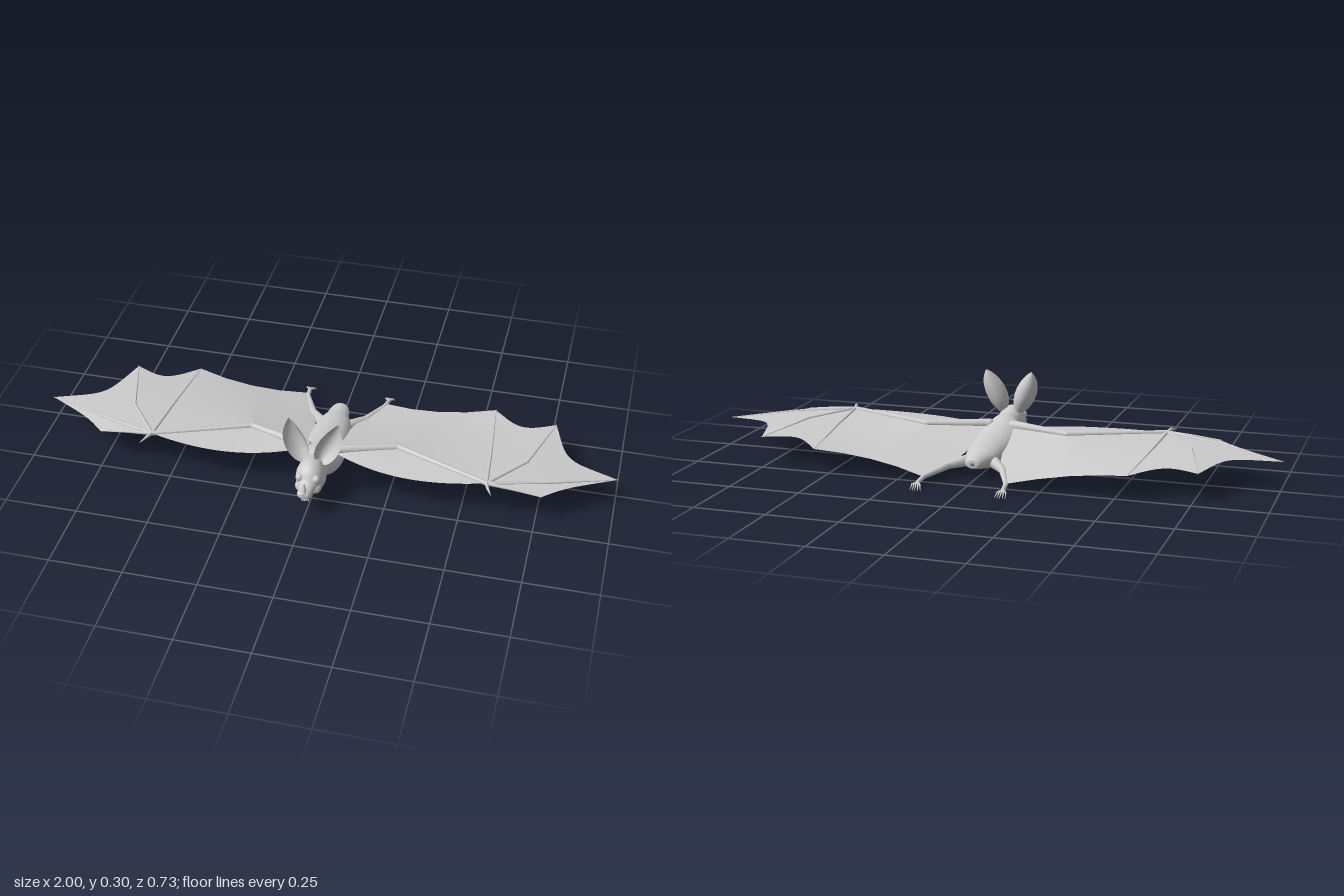
import * as THREE from 'three';

const V = (x, y, z) => new THREE.Vector3(x, y, z);
const fur = new THREE.MeshStandardMaterial({ color: 0xcccccc });
fur.name = 'grey';
const skin = new THREE.MeshStandardMaterial({ color: 0xcccccc, side: THREE.DoubleSide });
skin.name = 'thin grey skin';

// Indexed grid surface from a point rule; closed wraps around u
function surface(fn, nu, nv, closed = false) {
  const pos = [], idx = [], cols = closed ? nu : nu + 1;
  for (let i = 0; i <= nv; i++)
    for (let j = 0; j < cols; j++) pos.push(...fn(j / nu, i / nv).toArray());
  for (let i = 0; i < nv; i++)
    for (let j = 0; j < nu; j++) {
      const k = (j + 1) % cols, a = i * cols + j, b = i * cols + k;
      idx.push(a, b, a + cols, b, b + cols, a + cols);
    }
  const g = new THREE.BufferGeometry();
  g.setAttribute('position', new THREE.Float32BufferAttribute(pos, 3));
  g.setIndex(idx);
  g.computeVertexNormals();
  return g;
}

function add(parent, name, geo, mat = fur) {
  const m = new THREE.Mesh(geo, mat);
  m.name = name;
  parent.add(m);
  return m;
}

function ball(parent, name, x, y, z, rx, ry = rx, rz = rx) {
  const m = add(parent, name, new THREE.SphereGeometry(1, 20, 14));
  m.position.set(x, y, z);
  m.scale.set(rx, ry, rz);
}

// Jointed limb: tapered cylinders with round joints
function limb(parent, name, pts, radii) {
  const g = new THREE.Group();
  g.name = name;
  pts.forEach((p, i) => {
    ball(g, name + 'Joint', p.x, p.y, p.z, radii[i]);
    if (!i) return;
    const d = p.clone().sub(pts[i - 1]);
    const m = add(g, name + 'Bone', new THREE.CylinderGeometry(radii[i], radii[i - 1], d.length(), 10));
    m.position.copy(p).add(pts[i - 1]).multiplyScalar(0.5);
    m.quaternion.setFromUnitVectors(V(0, 1, 0), d.normalize());
  });
  parent.add(g);
}

// Point on a polyline with evenly spaced corners
function along(pts, t) {
  const f = Math.min(Math.max(t, 0), 1) * (pts.length - 1), i = Math.min(Math.floor(f), pts.length - 2);
  return pts[i].clone().lerp(pts[i + 1], f - i);
}

// Body, neck and head as one loft: z, top, bottom, half width
const sections = [
  [-0.2, 0.066, 0.056, 0.006], [-0.198, 0.077, 0.046, 0.022], [-0.185, 0.081, 0.041, 0.031],
  [-0.14, 0.088, 0.03, 0.042], [-0.1, 0.098, 0.022, 0.057], [0, 0.112, 0.013, 0.071],
  [0.1, 0.13, 0.012, 0.077], [0.14, 0.143, 0.016, 0.07], [0.17, 0.15, 0.033, 0.058],
  [0.2, 0.151, 0.05, 0.047], [0.225, 0.159, 0.039, 0.048], [0.25, 0.163, 0.036, 0.051],
  [0.275, 0.16, 0.046, 0.047], [0.295, 0.145, 0.06, 0.038], [0.315, 0.118, 0.073, 0.027],
  [0.34, 0.113, 0.082, 0.024], [0.355, 0.113, 0.084, 0.022], [0.364, 0.108, 0.088, 0.015],
  [0.366, 0.1, 0.097, 0.002],
];

function buildBody(root) {
  const mid = new THREE.CatmullRomCurve3(sections.map(([z, t, b]) => V(0, (t + b) / 2, z)));
  const size = new THREE.CatmullRomCurve3(sections.map(([z, t, b, w]) => V(w, (t - b) / 2, z)));
  add(root, 'body', surface((u, v) => {
    const c = mid.getPoint(v), s = size.getPoint(v), a = u * Math.PI * 2;
    return V(Math.cos(a) * s.x, c.y + Math.sin(a) * s.y, c.z);
  }, 32, 72, true));
  ball(root, 'lowerJaw', 0, 0.068, 0.315, 0.018, 0.008, 0.032);
  limb(root, 'noseLeaf', [V(0, 0.105, 0.355), V(0, 0.122, 0.35), V(0, 0.141, 0.348)], [0.011, 0.007, 0.001]);
}

function buildSide(root, s) {
  const side = new THREE.Group();
  side.name = s > 0 ? 'leftSide' : 'rightSide';
  root.add(side);
  const P = (x, y, z) => V(s * x, y, z);
  const sheet = (name, fn, nu = 16, nv = 12) => add(side, name, surface(fn, nu, nv), skin);

  // Face details
  ball(side, 'cheek', s * 0.023, 0.085, 0.29, 0.022);
  ball(side, 'eye', s * 0.028, 0.123, 0.295, 0.014);
  limb(side, 'fang', [P(0.012, 0.085, 0.335), P(0.012, 0.053, 0.334)], [0.004, 0.0008]);

  // Cupped ear, open to the front
  const spine = new THREE.CatmullRomCurve3([
    P(0.026, 0.14, 0.226), P(0.041, 0.18, 0.207), P(0.06, 0.225, 0.2), P(0.076, 0.265, 0.203), P(0.085, 0.298, 0.211)]);
  sheet('ear', (u, v) => {
    const w = 0.005 * (1 - v) + 0.036 * Math.pow(Math.sin(Math.PI * Math.pow(v, 0.85)), 0.8), a = (u - 0.5) * 2.7;
    const x = Math.sin(a) * w;
    return spine.getPoint(v).add(P(x * 0.95, -x * 0.33, (1 - Math.cos(a)) * w * 1.3));
  }, 16, 20);

  // Arm, thumb and fingers
  const shoulder = P(0.045, 0.122, 0.125), elbow = P(0.257, 0.122, 0.06), wrist = P(0.58, 0.124, 0.185);
  limb(side, 'arm', [shoulder, elbow, wrist], [0.018, 0.011, 0.008]);
  limb(side, 'thumb', [wrist, P(0.588, 0.13, 0.215), P(0.603, 0.124, 0.243)], [0.007, 0.005, 0.001]);
  const fingers = [
    [wrist, P(0.67, 0.118, 0.188), P(0.765, 0.109, 0.195)],
    [wrist, P(0.79, 0.114, 0.118), P(1, 0.095, 0.03)],
    [wrist, P(0.695, 0.115, 0.03), P(0.765, 0.1, -0.217)],
    [wrist, P(0.568, 0.11, 0), P(0.545, 0.088, -0.27)],
  ];
  fingers.forEach((f, i) => limb(side, 'finger' + (i + 1), f, [0.007, 0.005, 0.0015]));

  // Scalloped skin between neighbouring fingers
  [0.1, 0.17, 0.12].forEach((sag, i) => sheet('fingerMembrane', (u, v) => {
    const t = v * (1 - sag * Math.sin(Math.PI * u));
    return along(fingers[i], t).lerp(along(fingers[i + 1], t), u);
  }));

  // Main skin from the arm back to the leg and last finger
  const trailing = new THREE.QuadraticBezierCurve3(P(0.145, 0.032, -0.29), P(0.345, 0.066, -0.21), P(0.545, 0.088, -0.27));
  const rows = [
    [shoulder, elbow, wrist],
    [P(0.05, 0.085, 0), P(0.29, 0.104, -0.02), P(0.568, 0.11, 0)],
    [P(0.08, 0.05, -0.15), P(0.31, 0.082, -0.13), P(0.557, 0.099, -0.135)],
    [0, 0.25, 0.5, 0.75, 1].map((t) => trailing.getPoint(t)),
  ];
  sheet('wingMembrane', (u, v) => along(rows.map((r) => along(r, u)), v), 24, 18);

  // Skin in front of the arm
  const leading = new THREE.CubicBezierCurve3(P(0.05, 0.115, 0.13), P(0.22, 0.113, 0.225), P(0.38, 0.115, 0.235), wrist);
  sheet('frontMembrane', (u, v) => along([shoulder, elbow, wrist], u).lerp(leading.getPoint(u), v), 24, 6);

  // Leg and clawed foot
  const ankle = P(0.148, 0.021, -0.325);
  limb(side, 'leg', [P(0.04, 0.05, -0.1), P(0.097, 0.042, -0.17), P(0.143, 0.029, -0.28), ankle], [0.022, 0.013, 0.008, 0.007]);
  for (let i = 0; i < 5; i++) {
    const k = i - 2;
    limb(side, 'toe', [ankle, P(0.148 + k * 0.007, 0.018, -0.342), P(0.146 + k * 0.009, 0.002, -0.362 + Math.abs(k) * 0.003)],
      [0.004, 0.003, 0.0008]);
  }
}

export function createModel() {
  const root = new THREE.Group();
  root.name = 'bat';
  buildBody(root);
  for (const s of [1, -1]) buildSide(root, s);
  return root;
}
